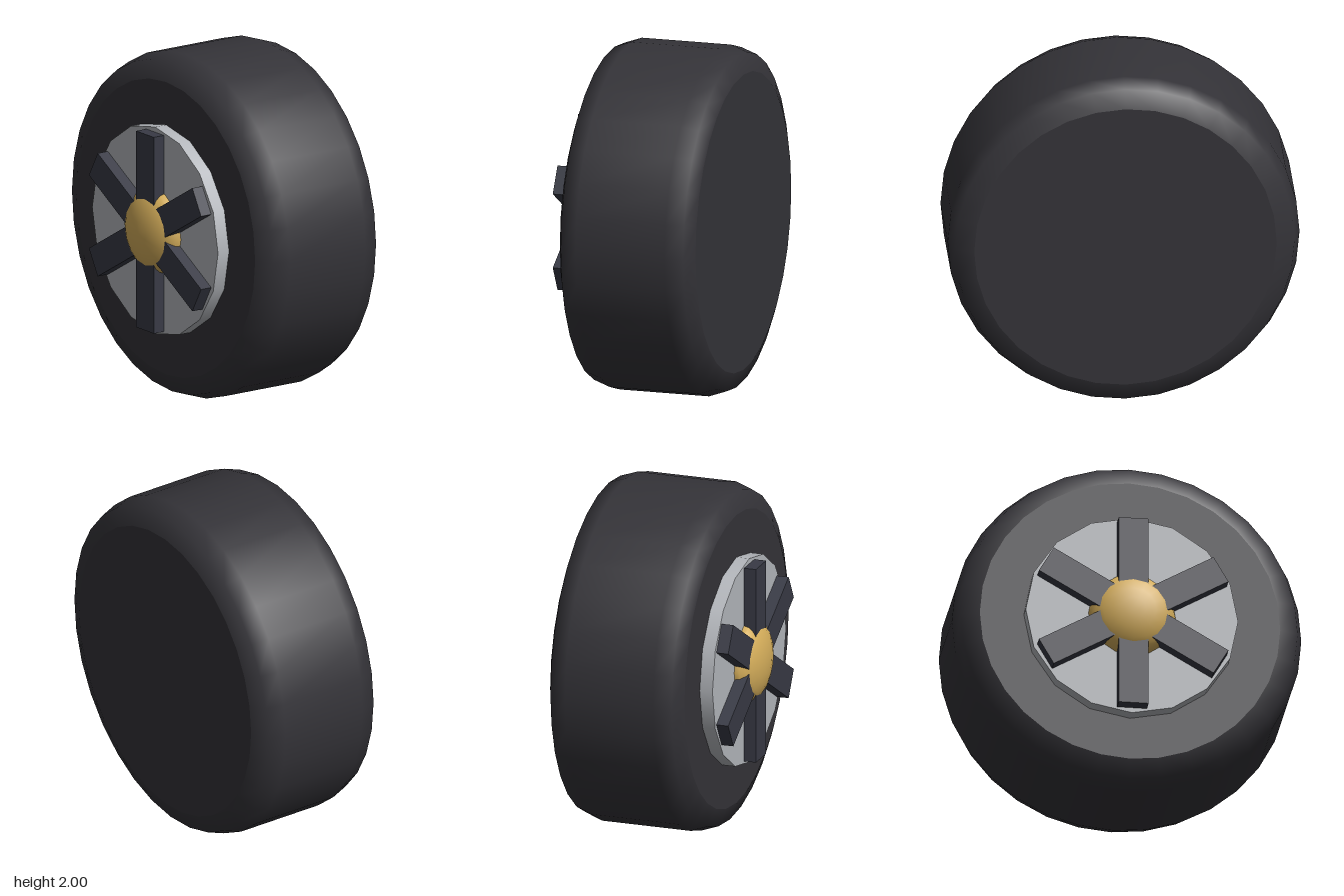
import * as THREE from 'three';

export function createModel() {
  const rubber = new THREE.MeshStandardMaterial({ color: 0x343338 });
  const metal = new THREE.MeshStandardMaterial({ color: 0xb4b7bc });
  const dark = new THREE.MeshStandardMaterial({ color: 0x383a45 });
  const gold = new THREE.MeshStandardMaterial({ color: 0xd4ad5a });

  // Built with the axle along +y (outer face up), then tipped so it points to -x
  const wheel = new THREE.Group();
  wheel.name = 'wheel';
  const add = (name, geometry, material, y = 0, parent = wheel) => {
    const mesh = new THREE.Mesh(geometry, material);
    mesh.name = name;
    mesh.position.y = y;
    parent.add(mesh);
    return mesh;
  };

  // Tyre: rounded tread with flat side walls
  const profile = [
    [0.86, -0.5], [0.965, -0.46], [1, -0.36],
    [1, 0.17], [0.965, 0.27], [0.86, 0.31],
  ].map(([r, y]) => new THREE.Vector2(r, y));
  add('tyreTread', new THREE.LatheGeometry(profile, 32), rubber);
  const wall = new THREE.CircleGeometry(0.86, 32);
  add('tyreOuterWall', wall.clone().rotateX(-Math.PI / 2), rubber, 0.31);
  add('tyreInnerWall', wall.clone().rotateX(Math.PI / 2), rubber, -0.5);

  // Rim disc
  add('rim', new THREE.CylinderGeometry(0.608, 0.608, 0.1, 16), metal, 0.337);

  // Six spokes
  const spokes = new THREE.Group();
  spokes.name = 'spokes';
  wheel.add(spokes);
  for (let i = 0; i < 6; i++) {
    const geometry = new THREE.BoxGeometry(0.577, 0.08, 0.17)
      .translate(0.2885, 0, 0)
      .rotateY((i * Math.PI) / 3);
    add('spoke', geometry, dark, 0.418, spokes);
  }

  // Domed hub cap
  const hub = add('hubCap', new THREE.SphereGeometry(0.25, 16, 12), gold, 0.384);
  hub.scale.y = 0.12 / 0.25;

  wheel.rotation.z = Math.PI / 2;
  wheel.position.y = 1;
  const model = new THREE.Group();
  model.add(wheel);
  return model;
}
